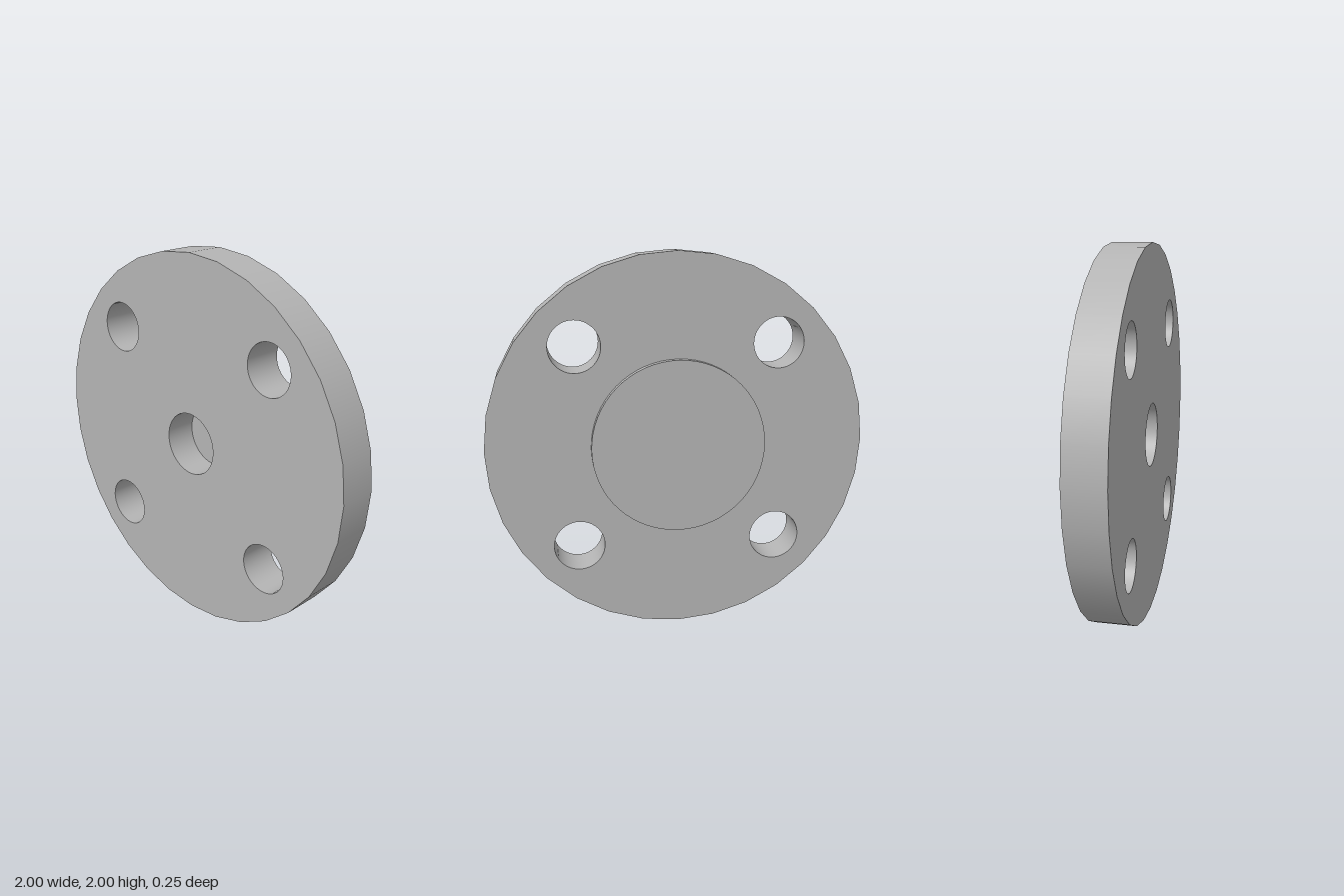
import * as THREE from 'three';

const FRONT = 0.125, BACK = -0.085, BOSS_BACK = -0.125, RECESS_FLOOR = -0.045;
const RIM_R = 1, BOSS_R = 0.457, RECESS_R = 0.168, BOLT_R = 0.134, BOLT_POS = 0.53;
const RIM_SIDES = 32, ROUND_SIDES = 64;

// Points of a regular polygon in the xy plane
function ring(r, sides, cx = 0, cy = 0) {
  return Array.from({ length: sides }, (_, i) => {
    const a = (i / sides) * Math.PI * 2;
    return new THREE.Vector2(cx + r * Math.cos(a), cy + r * Math.sin(a));
  });
}

// Smooth wall along z; faces outward when z0 < z1, inward when z0 > z1
function wall(r, z0, z1, sides) {
  const profile = [new THREE.Vector2(r, z0), new THREE.Vector2(r, z1)];
  return new THREE.LatheGeometry(profile, sides).rotateX(Math.PI / 2);
}

export function createModel() {
  const steel = new THREE.MeshStandardMaterial({ color: 0xb4b4b4 });
  steel.name = 'steel grey';

  const flange = new THREE.Group();
  flange.name = 'blindFlange';
  flange.position.y = 1;
  const add = (name, geometry) => {
    const mesh = new THREE.Mesh(geometry, steel);
    mesh.name = name;
    flange.add(mesh);
  };

  const bolts = [[1, 1], [-1, 1], [-1, -1], [1, -1]].map(([x, y]) => [x * BOLT_POS, y * BOLT_POS]);

  // Disc face with four bolt holes and a central opening
  const face = (centreRadius) => {
    const shape = new THREE.Shape(ring(RIM_R, RIM_SIDES));
    shape.holes.push(new THREE.Path(ring(centreRadius, ROUND_SIDES)));
    for (const [x, y] of bolts) shape.holes.push(new THREE.Path(ring(BOLT_R, ROUND_SIDES, x, y)));
    return new THREE.ShapeGeometry(shape);
  };

  // Main disc
  add('frontFace', face(RECESS_R).translate(0, 0, FRONT));
  add('backFace', face(BOSS_R).rotateY(Math.PI).translate(0, 0, BACK));
  add('outerRim', wall(RIM_R, BACK, FRONT, RIM_SIDES));

  // Through holes for bolts
  for (const [x, y] of bolts) {
    add('boltHole', wall(BOLT_R, FRONT, BACK, ROUND_SIDES).translate(x, y, 0));
  }

  // Blind recess in the front
  add('recessWall', wall(RECESS_R, FRONT, RECESS_FLOOR, ROUND_SIDES));
  add('recessFloor', new THREE.CircleGeometry(RECESS_R, ROUND_SIDES).translate(0, 0, RECESS_FLOOR));

  // Raised pad on the back
  add('raisedPadWall', wall(BOSS_R, BOSS_BACK, BACK, ROUND_SIDES));
  add('raisedPadFace', new THREE.CircleGeometry(BOSS_R, ROUND_SIDES).rotateY(Math.PI).translate(0, 0, BOSS_BACK));

  const model = new THREE.Group();
  model.name = 'model';
  model.add(flange);
  return model;
}
